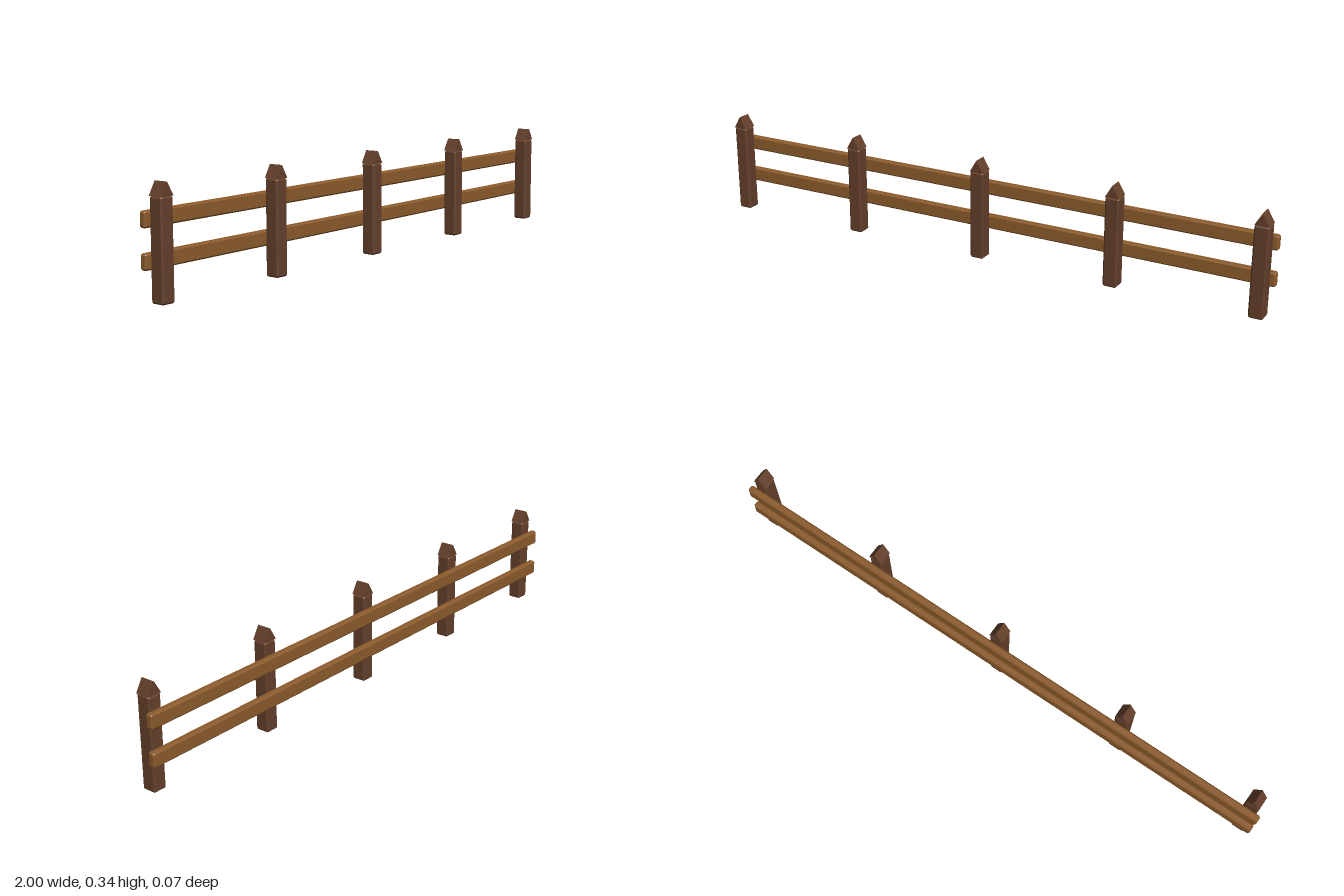
import * as THREE from 'three';
import { ConvexGeometry } from 'three/addons/geometries/ConvexGeometry.js';

// Box with every edge cut at 45 degrees
function chamferBox(w, h, d, c) {
  const points = [];
  for (const x of [-1, 1]) for (const y of [-1, 1]) for (const z of [-1, 1]) {
    for (let axis = 0; axis < 3; axis++) {
      const inset = [0, 1, 2].map((i) => (i === axis ? 0 : c));
      points.push(new THREE.Vector3(
        x * (w / 2 - inset[0]), y * (h / 2 - inset[1]), z * (d / 2 - inset[2])));
    }
  }
  return new ConvexGeometry(points);
}

// Triangular prism with its ridge along z, base on y = 0
function ridgeCap(width, height, depth) {
  const shape = new THREE.Shape();
  shape.moveTo(-width / 2, 0);
  shape.lineTo(width / 2, 0);
  shape.lineTo(0, height);
  shape.closePath();
  return new THREE.ExtrudeGeometry(shape, { depth, bevelEnabled: false })
    .translate(0, 0, -depth / 2);
}

export function createModel() {
  const fence = new THREE.Group();
  fence.name = 'fence';
  const darkWood = new THREE.MeshStandardMaterial({ color: 0x633f2a });
  darkWood.name = 'darkWood';
  const lightWood = new THREE.MeshStandardMaterial({ color: 0x8b5a2b });
  lightWood.name = 'lightWood';

  const add = (name, geometry, material, x, y, z) => {
    const mesh = new THREE.Mesh(geometry, material);
    mesh.name = name;
    mesh.position.set(x, y, z);
    fence.add(mesh);
  };

  // Five posts with pointed caps
  const postGeometry = chamferBox(0.048, 0.301, 0.048, 0.005);
  const capGeometry = ridgeCap(0.048, 0.041, 0.048);
  for (let i = -2; i <= 2; i++) {
    add('post', postGeometry, darkWood, i * 0.48, 0.1505, 0.012);
    add('postCap', capGeometry, darkWood, i * 0.48, 0.301, 0.012);
  }

  // Two rails along the back of the posts
  const railGeometry = chamferBox(2, 0.048, 0.024, 0.005);
  for (const y of [0.117, 0.236]) add('rail', railGeometry, lightWood, 0, y, -0.024);

  return fence;
}
